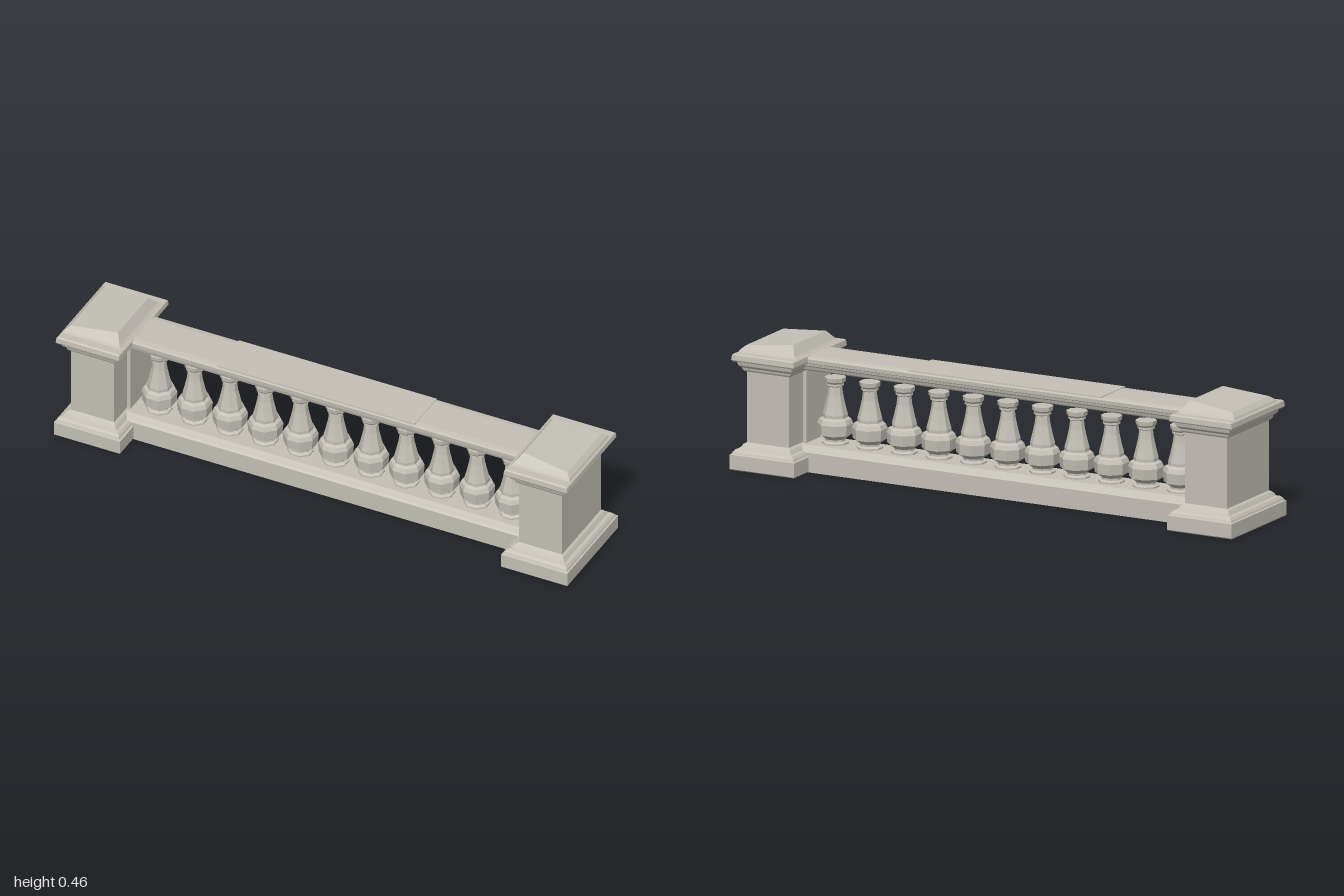
import * as THREE from 'three';

// Closed solid from stacked rectangles, each [xMin, xMax, halfDepth, y]
// or, for a tilted one, [xMin, xMax, halfDepth, y, halfDepthAtXMin, yAtXMin].
function stackRects(rects) {
  const pos = [];
  const rings = rects.map(([x0, x1, z, y, zi = z, yi = y]) => [
    [x1, y, z], [x1, y, -z], [x0, yi, -zi], [x0, yi, zi],
  ]);
  const quad = (a, b, c, d) => pos.push(...a, ...b, ...c, ...a, ...c, ...d);
  for (let k = 0; k < rings.length - 1; k++) {
    const a = rings[k], b = rings[k + 1];
    for (let i = 0; i < 4; i++) {
      const j = (i + 1) % 4;
      quad(a[i], a[j], b[j], b[i]);
    }
  }
  const top = rings[rings.length - 1], bottom = rings[0];
  quad(...top);
  quad(bottom[3], bottom[2], bottom[1], bottom[0]);
  const geo = new THREE.BufferGeometry();
  geo.setAttribute('position', new THREE.Float32BufferAttribute(pos, 3));
  geo.computeVertexNormals();
  return geo;
}

export function createModel() {
  const stone = new THREE.MeshStandardMaterial({ color: 0xc3bfb6 });
  stone.name = 'stone';
  const model = new THREE.Group();
  model.name = 'balustrade';

  const add = (parent, name, geo) => {
    const mesh = new THREE.Mesh(geo, stone);
    mesh.name = name;
    parent.add(mesh);
    return mesh;
  };

  // Pedestal mouldings share one profile: [halfDepth, y], narrower in x
  const centre = 0.872;
  const moulded = (profile) => profile.map(([z, y]) => {
    const w = z - 0.066;
    return [centre - w, Math.min(centre + w, 1), z, y];
  });
  const base = moulded([
    [0.192, 0], [0.196, 0.004], [0.196, 0.055], [0.189, 0.057], [0.186, 0.064],
    [0.179, 0.072], [0.168, 0.075], [0.163, 0.083], [0.158, 0.09], [0.15, 0.095],
  ]);
  const shaft = moulded([[0.15, 0.094], [0.15, 0.352]]);
  const cornice = moulded([
    [0.15, 0.35], [0.156, 0.35], [0.16, 0.356], [0.162, 0.364], [0.172, 0.373],
    [0.175, 0.386], [0.187, 0.389], [0.19, 0.394], [0.188, 0.412], [0.183, 0.416],
  ]);
  // Cap rises to a ridge on the inner side and slopes outward
  const cap = [
    [0.758, 0.988, 0.154, 0.415],
    [0.768, 0.983, 0.148, 0.424],
    [0.79, 0.968, 0.131, 0.438, 0.116, 0.456],
  ];

  for (const side of ['left', 'right']) {
    const pedestal = new THREE.Group();
    pedestal.name = side + 'Pedestal';
    add(pedestal, 'pedestalBase', stackRects(base));
    add(pedestal, 'pedestalShaft', stackRects(shaft));
    add(pedestal, 'pedestalCornice', stackRects(cornice));
    add(pedestal, 'pedestalCap', stackRects(cap));
    // Narrow pilaster where the railing meets the shaft
    add(pedestal, 'pilaster', stackRects([[0.775, 0.8, 0.05, 0.08], [0.775, 0.8, 0.05, 0.37]]));
    if (side === 'right') pedestal.rotation.y = Math.PI;
    model.add(pedestal);
  }

  // Plinth and handrail run between the pedestals
  const run = (profile, x0 = -0.79, x1 = 0.79) =>
    stackRects(profile.map(([z, y]) => [x0, x1, z, y]));
  add(model, 'plinth', run([[0.092, 0], [0.092, 0.07], [0.085, 0.076], [0.078, 0.086], [0.068, 0.092]]));
  add(model, 'handrail', run([
    [0.06, 0.357], [0.066, 0.362], [0.07, 0.373], [0.079, 0.378],
    [0.081, 0.387], [0.087, 0.39], [0.088, 0.404], [0.084, 0.41], [0.066, 0.413],
  ]));
  // Worn middle slab lies flush over the handrail
  add(model, 'handrailSlab', run([[0.085, 0.406], [0.084, 0.415]], -0.42, 0.35));

  // Eight-sided balusters
  const profile = [
    [0, 0.088], [0.047, 0.088], [0.047, 0.098], [0.036, 0.103], [0.036, 0.11],
    [0.06, 0.127], [0.063, 0.165], [0.056, 0.181], [0.044, 0.187], [0.044, 0.198],
    [0.037, 0.225], [0.028, 0.265], [0.024, 0.297], [0.031, 0.301], [0.03, 0.308],
    [0.036, 0.315], [0.038, 0.33], [0, 0.331],
  ].map(([r, y]) => new THREE.Vector2(r, y));
  const balusterGeo = new THREE.LatheGeometry(profile, 8, Math.PI / 8).toNonIndexed();
  balusterGeo.computeVertexNormals();
  for (let i = 0; i < 11; i++) {
    add(model, 'baluster' + (i + 1), balusterGeo).position.x = (i - 5) * 0.1375;
  }
  return model;
}
